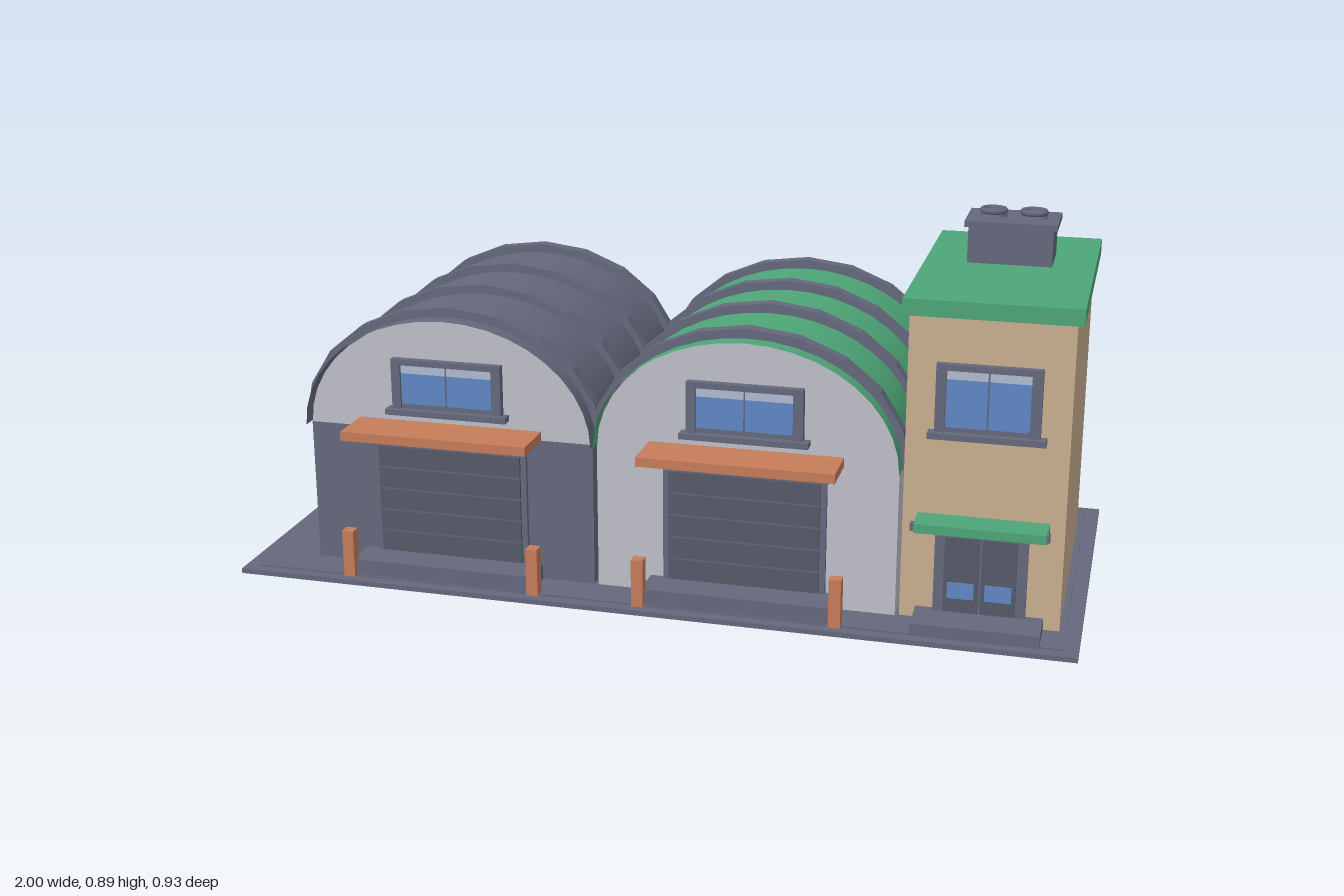
import * as THREE from 'three';

const mat = (name, color, side = THREE.FrontSide) => {
  const m = new THREE.MeshStandardMaterial({ color, side });
  m.name = name;
  return m;
};

export function createModel() {
  const root = new THREE.Group();
  root.name = 'depotBuilding';
  const slate = mat('slate', 0x65687c, THREE.DoubleSide);
  const dark = mat('darkSlate', 0x565969);
  const tan = mat('tanPlaster', 0xc9af90);
  const green = mat('green', 0x4ea678, THREE.DoubleSide);
  const orange = mat('orange', 0xc67c5a);
  const pale = mat('paleGrey', 0xbfbfca);
  const glass = mat('blueGlass', 0x5f88c6);
  const shine = mat('paleGlass', 0xb0bccf);

  const add = (parent, name, geo, material) => {
    const m = new THREE.Mesh(geo, material);
    m.name = name;
    parent.add(m);
    return m;
  };
  // Box given by its minimum and maximum on each axis
  const box = (parent, name, material, x0, x1, y0, y1, z0, z1) => {
    const m = add(parent, name, new THREE.BoxGeometry(x1 - x0, y1 - y0, z1 - z0), material);
    m.position.set((x0 + x1) / 2, (y0 + y1) / 2, (z0 + z1) / 2);
    return m;
  };
  const group = (name, x = 0) => {
    const g = new THREE.Group();
    g.name = name;
    g.position.x = x;
    root.add(g);
    return g;
  };
  const arc = (a, b, n) => Array.from({ length: n + 1 }, (_, i) =>
    new THREE.Vector2(a * Math.cos(Math.PI * i / n), b * Math.sin(Math.PI * i / n)));
  const extrude = (points, depth) => new THREE.ExtrudeGeometry(
    new THREE.Shape(points), { depth, bevelEnabled: false });

  // Two-pane window centred on x = 0 of its parent, mounted on a wall at z
  const windowUnit = (parent, w, y0, y1, z) => {
    const h = w / 2, b = 0.022;
    box(parent, 'windowFrame', slate, -h, h, y0, y1, z - 0.01, z + 0.01);
    for (const s of [-1, 1]) {
      box(parent, 'windowJamb', slate, s * (h - b / 2) - b / 2, s * (h - b / 2) + b / 2, y0, y1, z, z + 0.016);
      const cx = s * (h - b) / 2, hw = (h - b) / 2 - 0.002;
      box(parent, 'windowPane', glass, cx - hw, cx + hw, y0 + 0.012, y1 - 0.034, z + 0.01, z + 0.013);
      box(parent, 'paneHighlight', shine, cx - hw, cx + hw, y1 - 0.034, y1 - 0.014, z + 0.01, z + 0.013);
    }
    box(parent, 'windowHead', slate, -h, h, y1 - 0.014, y1, z, z + 0.016);
    box(parent, 'windowSill', slate, -h - 0.014, h + 0.014, y0 - 0.014, y0, z - 0.01, z + 0.028);
  };

  // Ground slab
  box(root, 'base', slate, -1, 1, 0, 0.012, -0.465, 0.465);
  box(root, 'basePaving', slate, -0.965, 0.965, 0.012, 0.016, -0.438, 0.438);

  // Arched halls
  const eave = 0.365;
  const hall = (name, cx, wallMat, roofMat) => {
    const g = group(name, cx);
    box(g, 'walls', wallMat, -0.354, 0.354, 0.012, eave, -0.39, 0.348);
    const gable = add(g, 'gable', extrude(arc(0.353, 0.277, 20), 0.738), pale);
    gable.position.set(0, eave, -0.39);

    // Thin vaulted roof, overhanging both ends
    const vault = new THREE.CylinderGeometry(1, 1, 0.79, 20, 1, true, Math.PI / 2, Math.PI);
    vault.rotateX(Math.PI / 2).scale(0.357, 0.28, 1);
    add(g, 'vaultedRoof', vault, roofMat).position.set(0, eave, -0.02);

    // Roof ribs
    const ring = [...arc(0.375, 0.305, 10), ...arc(0.351, 0.277, 10).reverse()];
    for (const z of [-0.362, -0.135, 0.09, 0.317]) {
      add(g, 'roofRib', extrude(ring, 0.033), slate).position.set(0, eave - 0.002, z - 0.0165);
    }

    // Loading door with slats
    box(g, 'doorFrame', slate, -0.192, 0.192, 0.05, 0.342, 0.34, 0.358);
    for (let i = 0; i < 5; i++) {
      const y = 0.057 + i * 0.054;
      box(g, 'doorSlat', dark, -0.178, 0.178, y, y + 0.05, 0.35, 0.365);
    }
    box(g, 'loadingStep', slate, -0.225, 0.225, 0.014, 0.054, 0.34, 0.435);
    box(g, 'doorCanopy', orange, -0.228, 0.228, 0.365, 0.387, 0.345, 0.465);
    for (const s of [-1, 1]) {
      box(g, 'bollard', orange, s * 0.231 - 0.014, s * 0.231 + 0.014, 0.014, 0.13, 0.421, 0.449);
    }
    windowUnit(g, 0.272, 0.422, 0.543, 0.35);
  };
  hall('slateHall', -0.492, slate, slate);
  hall('greenHall', 0.226, pale, green);

  // Office tower
  const t = group('tower', 0.77);
  box(t, 'towerWalls', tan, -0.181, 0.181, 0.012, 0.73, -0.32, 0.343);
  box(t, 'towerRoof', green, -0.196, 0.196, 0.73, 0.768, -0.336, 0.358);
  windowUnit(t, 0.232, 0.47, 0.626, 0.345);

  // Tower entrance
  box(t, 'entranceStep', slate, -0.144, 0.144, 0.014, 0.043, 0.34, 0.444);
  box(t, 'entranceFrame', slate, -0.104, 0.104, 0.043, 0.245, 0.34, 0.358);
  for (const s of [-1, 1]) {
    const c = s * 0.042;
    box(t, 'doorLeaf', dark, c - 0.039, c + 0.039, 0.046, 0.225, 0.35, 0.364);
    box(t, 'doorPane', glass, c - 0.03, c + 0.03, 0.08, 0.118, 0.362, 0.367);
    box(t, 'canopyEnd', slate, s * 0.149 - 0.004, s * 0.149 + 0.004, 0.258, 0.275, 0.41, 0.428);
  }
  box(t, 'entranceCanopy', green, -0.147, 0.147, 0.248, 0.271, 0.34, 0.414);
  box(t, 'canopyLip', green, -0.145, 0.145, 0.258, 0.274, 0.412, 0.427);

  // Rooftop ventilation unit
  box(t, 'ventHousing', slate, -0.098, 0.098, 0.768, 0.856, -0.142, -0.006);
  box(t, 'ventCap', slate, -0.107, 0.107, 0.854, 0.868, -0.15, 0.001);
  for (const x of [-0.047, 0.047]) {
    const drum = add(t, 'fanDrum', new THREE.CylinderGeometry(0.026, 0.034, 0.016, 12), slate);
    drum.position.set(x, 0.875, -0.074);
    const ring = add(t, 'fanRing', new THREE.TorusGeometry(0.027, 0.007, 6, 12).rotateX(Math.PI / 2), slate);
    ring.position.set(x, 0.882, -0.074);
  }
  return root;
}
